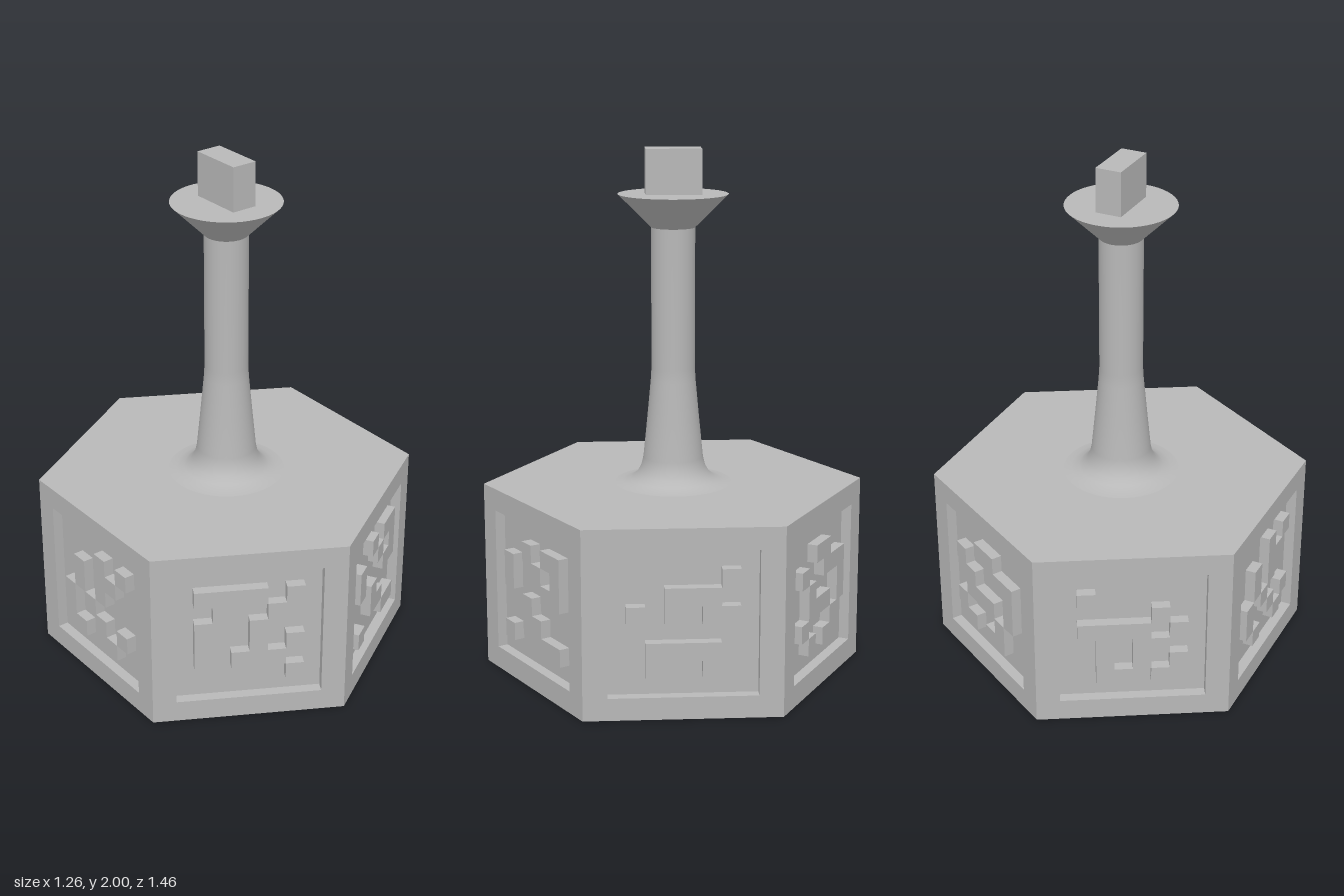
import * as THREE from 'three';

const H = 0.72, R = 0.73, DEPTH = 0.04;
const APOTHEM = R * Math.cos(Math.PI / 6);
const INNER = (APOTHEM - DEPTH) / Math.cos(Math.PI / 6);
const PANEL = 0.55, CELL = PANEL / 8;

// Raised cells of each side panel, top row first, starting at the front left-hand side
const PATTERNS = [
  ['001011', '100101', '100011', '001000', '001100', '100011'],
  ['000001', '001110', '101011', '000000', '011110', '011010'],
  ['001100', '100111', '010001', '011101', '100010', '010110'],
  ['100000', '000010', '111101', '010110', '010101', '011011'],
  ['000101', '010110', '010100', '101000', '100101', '010010'],
  ['111101', '010010', '100100', '100101', '101110', '000001'],
];

// Flat slab with a square window and mitred ends
function frameGeometry() {
  const p = PANEL / 2, y = H / 2;
  const shape = new THREE.Shape([[-R / 2, -y], [R / 2, -y], [R / 2, y], [-R / 2, y]]
    .map(([a, b]) => new THREE.Vector2(a, b)));
  shape.holes.push(new THREE.Path([[-p, -p], [-p, p], [p, p], [p, -p]]
    .map(([a, b]) => new THREE.Vector2(a, b))));
  const g = new THREE.ExtrudeGeometry(shape, { depth: DEPTH, bevelEnabled: false });
  const pos = g.attributes.position;
  for (let i = 0; i < pos.count; i++) {
    const x = pos.getX(i);
    if (Math.abs(x) > 0.3 && pos.getZ(i) < DEPTH / 2) pos.setX(i, Math.sign(x) * INNER / 2);
  }
  g.computeVertexNormals();
  return g;
}

export function createModel() {
  const model = new THREE.Group();
  const grey = new THREE.MeshStandardMaterial({ color: 0xb8b8b8 });
  grey.name = 'grey';
  const add = (parent, name, geometry, x = 0, y = 0, z = 0) => {
    const mesh = new THREE.Mesh(geometry, grey);
    mesh.name = name;
    mesh.position.set(x, y, z);
    parent.add(mesh);
    return mesh;
  };

  // Hexagonal core whose sides form the panel floors
  const core = new THREE.CylinderGeometry(INNER, INNER, H, 6).toNonIndexed();
  core.computeVertexNormals();
  add(model, 'baseCore', core, 0, H / 2, 0);

  // Six framed sides with raised blocks
  const frame = frameGeometry();
  PATTERNS.forEach((rows, i) => {
    const side = new THREE.Group();
    side.name = 'sidePanel';
    side.rotation.y = Math.PI / 6 + i * Math.PI / 3;
    add(side, 'panelFrame', frame, 0, H / 2, APOTHEM - DEPTH);
    rows.forEach((row, r) => {
      // One box for each unbroken run of cells
      for (const run of row.matchAll(/1+/g)) {
        const n = run[0].length;
        add(side, 'raisedBlock', new THREE.BoxGeometry(n * CELL, CELL, DEPTH),
          (run.index + n / 2 - 3) * CELL, H / 2 + (2.5 - r) * CELL, APOTHEM - DEPTH / 2);
      }
    });
    model.add(side);
  });

  // Stem with a flared foot
  const stem = [[0.225, 0.72], [0.195, 0.724], [0.165, 0.735], [0.14, 0.755], [0.123, 0.785],
    [0.115, 0.82], [0.1, 0.97], [0.086, 1.12], [0.083, 1.17], [0.083, 1.71]];
  add(model, 'stem', new THREE.LatheGeometry(stem.map(([x, y]) => new THREE.Vector2(x, y)), 48));

  // Conical collar and the key block on top
  add(model, 'collar', new THREE.CylinderGeometry(0.208, 0.083, 0.125, 48), 0, 1.7675, 0);
  add(model, 'topKey', new THREE.BoxGeometry(0.1, 0.17, 0.21), 0, 1.915, 0);
  return model;
}
